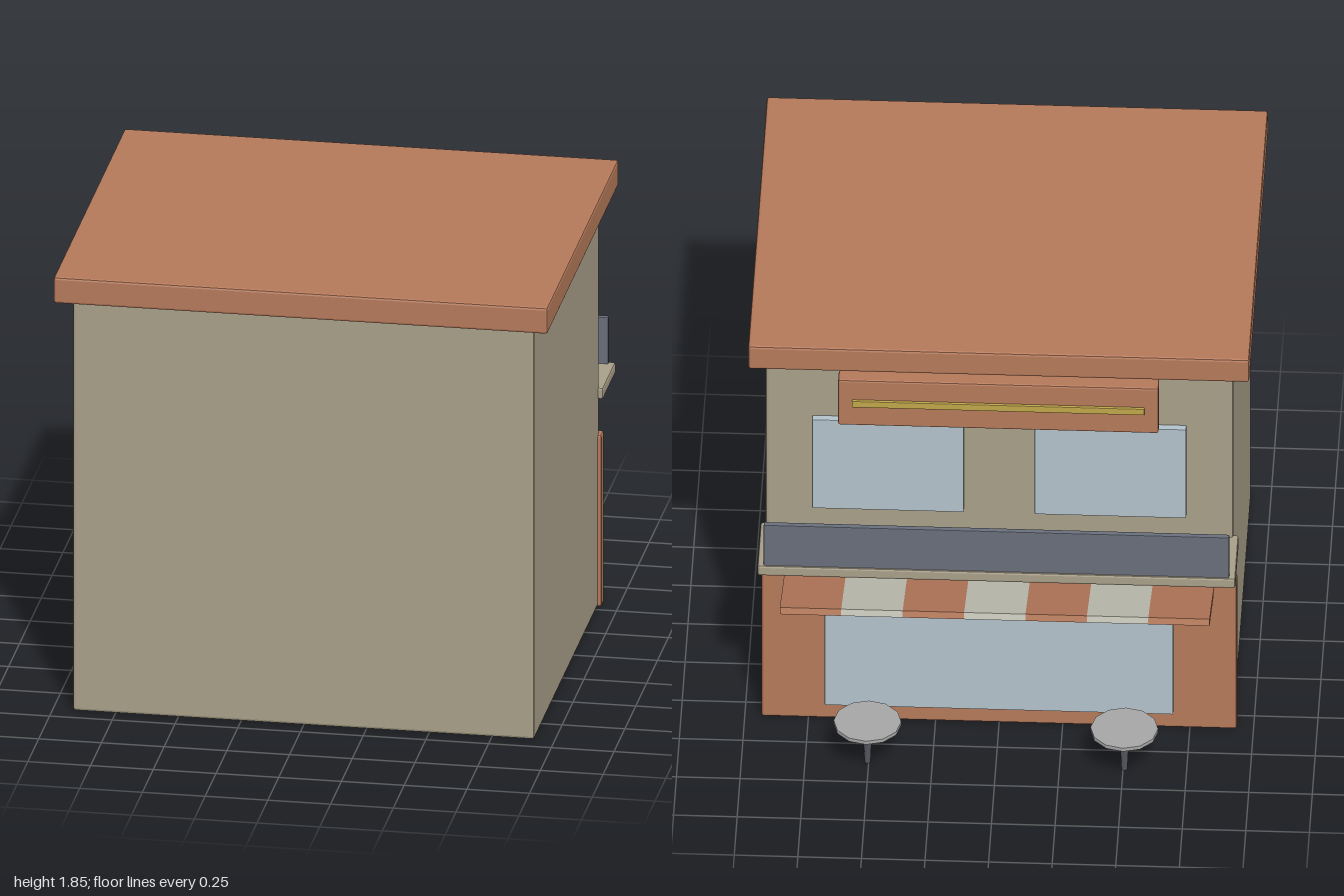
import * as THREE from 'three';
import { RoundedBoxGeometry } from 'three/addons/geometries/RoundedBoxGeometry.js';

function mat(name, color) {
  const m = new THREE.MeshStandardMaterial({ color });
  m.name = name;
  return m;
}

export function createModel() {
  const wall = mat('tan wall', 0xa89f89);
  const terracotta = mat('terracotta', 0xb5795a);
  const cream = mat('cream stripe', 0xc2c1b4);
  const glass = mat('pale glass', 0xb2c2cb);
  const slate = mat('slate', 0x686e7b);
  const brass = mat('brass', 0xbfa549);
  const grey = mat('seat grey', 0xa6a6a6);
  const dark = mat('dark metal', 0x55575f);

  const group = new THREE.Group();
  group.name = 'kiosk';

  const add = (name, geometry, material, x, y, z) => {
    const mesh = new THREE.Mesh(geometry, material);
    mesh.name = name;
    mesh.position.set(x, y, z);
    group.add(mesh);
    return mesh;
  };

  // Softly bevelled box given by its extents
  const block = (name, material, [x0, x1], [y0, y1], [z0, z1], bevel) => {
    const geometry = new RoundedBoxGeometry(x1 - x0, y1 - y0, z1 - z0, 1, bevel);
    geometry.computeVertexNormals();
    return add(name, geometry, material, (x0 + x1) / 2, (y0 + y1) / 2, (z0 + z1) / 2);
  };

  // Building shell
  block('body', wall, [-0.92, 0.92], [0, 1.74], [-0.56, 0.93], 0.012);
  block('roof', terracotta, [-0.985, 0.985], [1.74, 1.85], [-0.637, 1], 0.01);
  block('basePanel', terracotta, [-0.935, 0.935], [0, 0.725], [-0.59, -0.53], 0.01);

  // Serving counter with its screen
  block('counter', wall, [-0.94, 0.94], [0.87, 0.92], [-0.83, -0.54], 0.01);
  block('counterScreen', slate, [-0.915, 0.915], [0.915, 1.115], [-0.823, -0.8], 0.003);

  // Glazing
  block('displayWindow', glass, [-0.685, 0.685], [0.08, 0.625], [-0.612, -0.588], 0.003);
  for (const side of [-1, 1]) {
    const xs = [0.14 * side, 0.735 * side].sort((a, b) => a - b);
    block('servingWindow', glass, xs, [1.03, 1.465], [-0.59, -0.558], 0.003);
  }

  // Sign board with a brass bar
  block('signBoard', terracotta, [-0.63, 0.63], [1.495, 1.715], [-0.66, -0.59], 0.008);
  block('signBar', brass, [-0.575, 0.575], [1.592, 1.622], [-0.672, -0.655], 0.003);

  // Striped awning, rising outwards
  const stripes = 7;
  const stripeWidth = 1.69 / stripes;
  for (let i = 0; i < stripes; i++) {
    const x = (i - (stripes - 1) / 2) * stripeWidth;
    const stripe = add('awningStripe', new THREE.BoxGeometry(stripeWidth, 0.028, 0.4),
      i % 2 ? cream : terracotta, x, 0.745, -0.78);
    stripe.rotation.x = 0.318;
  }

  // Stools
  for (const x of [-0.505, 0.505]) {
    const seat = new THREE.CylinderGeometry(0.133, 0.133, 0.016, 12).toNonIndexed();
    seat.computeVertexNormals();
    add('stoolSeat', seat, grey, x, 0.192, -0.867);
    add('stoolPost', new THREE.CylinderGeometry(0.02, 0.012, 0.185, 8), dark, x, 0.0925, -0.867);
  }

  return group;
}
